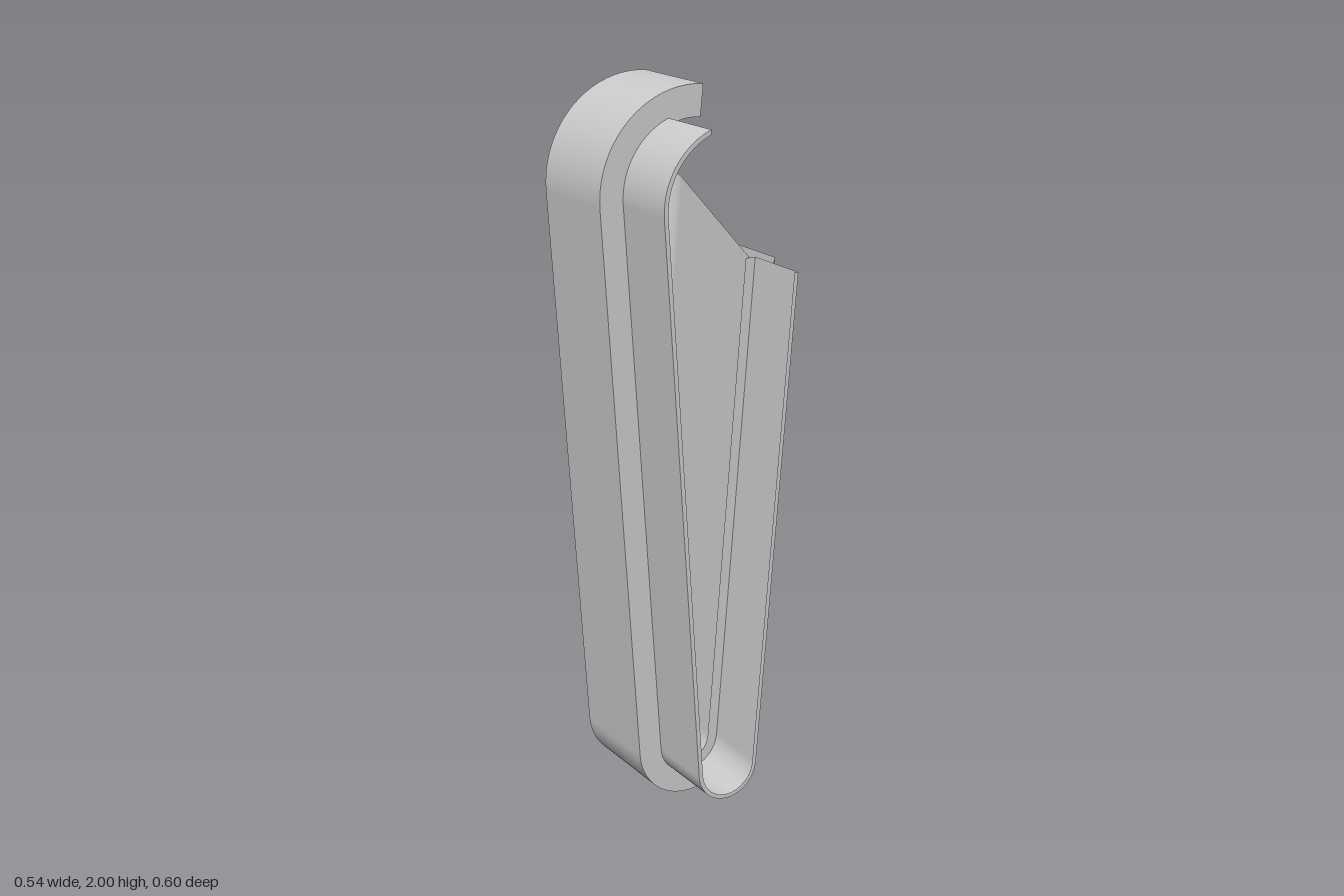
import * as THREE from 'three';

// Tapered pill outline: small circle below, larger circle above
const LOW = { x: 0, y: 0.155, r: 0.075 };
const TOP = { x: 0.008, y: 1.722, r: 0.193 };
const RIGHT = -0.08, LEFT = Math.PI + 0.07; // angles where the straight sides touch
const SIDE = 4, ARC = 20;

const on = (c, d, a) => [c.x + (c.r + d) * Math.cos(a), c.y + (c.r + d) * Math.sin(a)];

// Outline offset by d: from height yEnd on the +x side, round the bottom,
// up the -x side and over the top to xEnd (full loop when yEnd is omitted)
function outline(d, yEnd, xEnd) {
  const pts = [];
  const r0 = on(LOW, d, RIGHT), r1 = on(TOP, d, RIGHT);
  const k = yEnd === undefined ? 1 : (yEnd - r0[1]) / (r1[1] - r0[1]);
  const mix = (a, b, t) => [a[0] + (b[0] - a[0]) * t, a[1] + (b[1] - a[1]) * t];
  for (let i = 0; i < SIDE; i++) pts.push(mix(r0, r1, k * (1 - i / SIDE)));
  const sweep = LEFT - 2 * Math.PI;
  for (let i = 0; i <= ARC; i++) pts.push(on(LOW, d, RIGHT + (sweep - RIGHT) * i / ARC));
  const l0 = on(LOW, d, LEFT), l1 = on(TOP, d, LEFT);
  for (let i = 1; i < SIDE; i++) pts.push(mix(l0, l1, i / SIDE));
  const end = xEnd === undefined ? RIGHT : Math.acos((xEnd - TOP.x) / (TOP.r + d));
  for (let i = 0; i <= ARC; i++) pts.push(on(TOP, d, LEFT + (end - LEFT) * i / ARC));
  return pts;
}

const material = new THREE.MeshStandardMaterial({ color: 0xcccccc, side: THREE.DoubleSide });

// Sheet joining successive outlines; each row is [offset, z, yEnd, xEnd]
function sheet(name, rows) {
  const pos = [], index = [];
  let n = 0;
  rows.forEach(([d, z, yEnd, xEnd], j) => {
    const pts = outline(d, yEnd, xEnd);
    n = pts.length;
    pts.forEach(([x, y], i) => {
      pos.push(x, y, z);
      if (j && i) {
        const b = j * n + i, a = b - n;
        index.push(a - 1, a, b - 1, a, b, b - 1);
      }
    });
  });
  const geo = new THREE.BufferGeometry();
  geo.setAttribute('position', new THREE.Float32BufferAttribute(pos, 3));
  geo.setIndex(index);
  geo.computeVertexNormals();
  const mesh = new THREE.Mesh(geo, material);
  mesh.name = name;
  return mesh;
}

export function createModel() {
  const group = new THREE.Group();
  group.name = 'taperedHousing';

  // Front band with its narrow rim and the ledge behind it
  group.add(sheet('frontBand', [[0.018, 0.3, 1.525, -0.067], [0.018, 0.1, 1.525, -0.067]]));
  group.add(sheet('frontRim', [[0.006, 0.3, 1.525, -0.067], [0.018, 0.3, 1.525, -0.067]]));
  group.add(sheet('ledge', [[-0.012, 0.1, 1.525, -0.067], [0.018, 0.1, 1.525, -0.067]]));

  // Cup wall, cut on a slant at the +x side, turning into the rounded back edge
  const fillet = (a) => [-0.04 + 0.04 * Math.cos(a), -0.26 - 0.04 * Math.sin(a)];
  const cut = (z) => 1.525 + (0.1 - z) * 0.43;
  const wall = [[0, 0.1], [0, -0.26], fillet(0.22), fillet(0.44), fillet(0.66)];
  group.add(sheet('cupWall', wall.map(([d, z]) => [d, z, cut(z), 0.03])));
  group.add(sheet('backEdge', [0.66, 0.88, 1.1, 1.33, Math.PI / 2].map(fillet)));

  // Flat back panel
  const shape = new THREE.Shape(outline(-0.04).slice(0, -1).map(([x, y]) => new THREE.Vector2(x, y)));
  const panel = new THREE.Mesh(new THREE.ShapeGeometry(shape), material);
  panel.name = 'backPanel';
  panel.position.z = -0.3;
  group.add(panel);

  // Hollow outer belt: outer wall and two side faces, open at both ends
  const F = 0.098, B = -0.188;
  group.add(sheet('beltOuter', [[0.085, F, 1.515, 0.038], [0.085, B, 1.515, 0.038]]));
  group.add(sheet('beltFrontFace', [[0, F, 1.24, 0.03], [0.085, F, 1.515, 0.038]]));
  group.add(sheet('beltBackFace', [[0, B, 1.53, 0.03], [0.085, B, 1.515, 0.038]]));

  return group;
}
